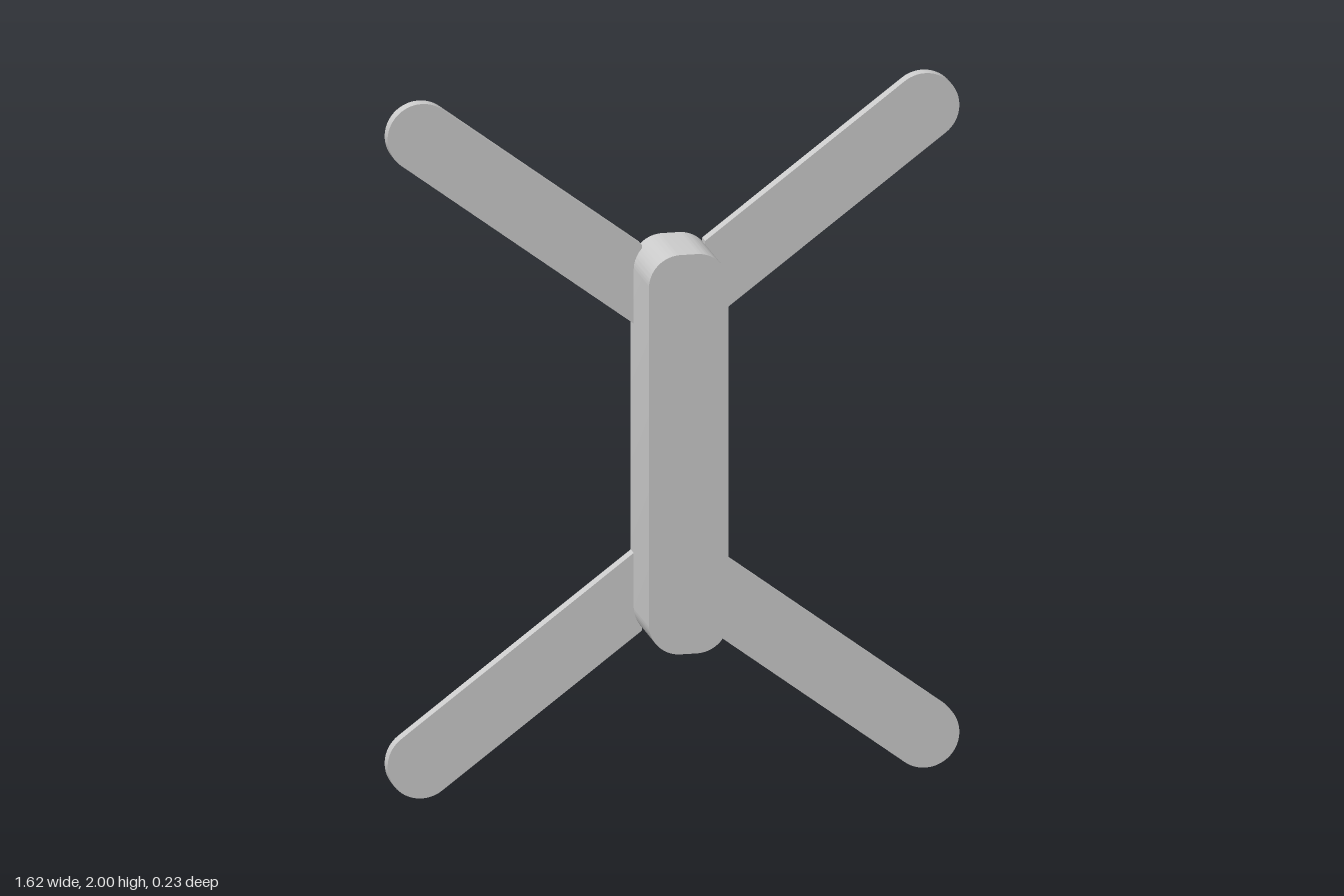
import * as THREE from 'three';
import { toCreasedNormals } from 'three/addons/utils/BufferGeometryUtils.js';

const BACK = -0.115, FRONT = 0.115, ARM_THICKNESS = 0.038;
const MID = 1; // height of the horizontal symmetry line

export function createModel() {
  const group = new THREE.Group();
  const material = new THREE.MeshStandardMaterial({ color: 0xcccccc });

  // Extrudes an outline forward from the common back plane
  function addPlate(name, points, depth) {
    const extruded = new THREE.ExtrudeGeometry(new THREE.Shape(points), { depth, bevelEnabled: false });
    const mesh = new THREE.Mesh(toCreasedNormals(extruded, 0.5), material);
    mesh.name = name;
    mesh.position.set(0, MID, BACK);
    group.add(mesh);
  }

  // Central body: upright bar with rounded corners
  const w = 0.113, h = 0.575, r = 0.09;
  const body = new THREE.Shape();
  body.absarc(w - r, h - r, r, 0, Math.PI / 2);
  body.absarc(-w + r, h - r, r, Math.PI / 2, Math.PI);
  body.absarc(-w + r, -h + r, r, Math.PI, Math.PI * 1.5);
  body.absarc(w - r, -h + r, r, Math.PI * 1.5, Math.PI * 2);
  body.closePath();
  addPlate('body', body.getPoints(16), FRONT - BACK);

  // Arm outline: root cut inside the body, parallel edges, round tip
  const tip = new THREE.Vector2(0.715, 0.903), armR = 0.097;
  const angle = Math.atan2(3, 4), rootX = 0.09;
  const edgeY = (side) => tip.y + (rootX - tip.x) * 0.75 + side * armR / Math.cos(angle);
  const outline = [new THREE.Vector2(rootX, edgeY(1)), new THREE.Vector2(rootX, edgeY(-1))];
  const steps = 32;
  for (let i = 0; i <= steps; i++) {
    const a = angle - Math.PI / 2 + (Math.PI * i) / steps;
    outline.push(new THREE.Vector2(tip.x + armR * Math.cos(a), tip.y + armR * Math.sin(a)));
  }

  // Four arms mirrored to each side and to top and bottom
  for (const sx of [1, -1]) {
    for (const sy of [1, -1]) {
      const name = (sy > 0 ? 'upper' : 'lower') + (sx > 0 ? 'Left' : 'Right') + 'Arm';
      addPlate(name, outline.map((p) => new THREE.Vector2(p.x * sx, p.y * sy)), ARM_THICKNESS);
    }
  }
  return group;
}
